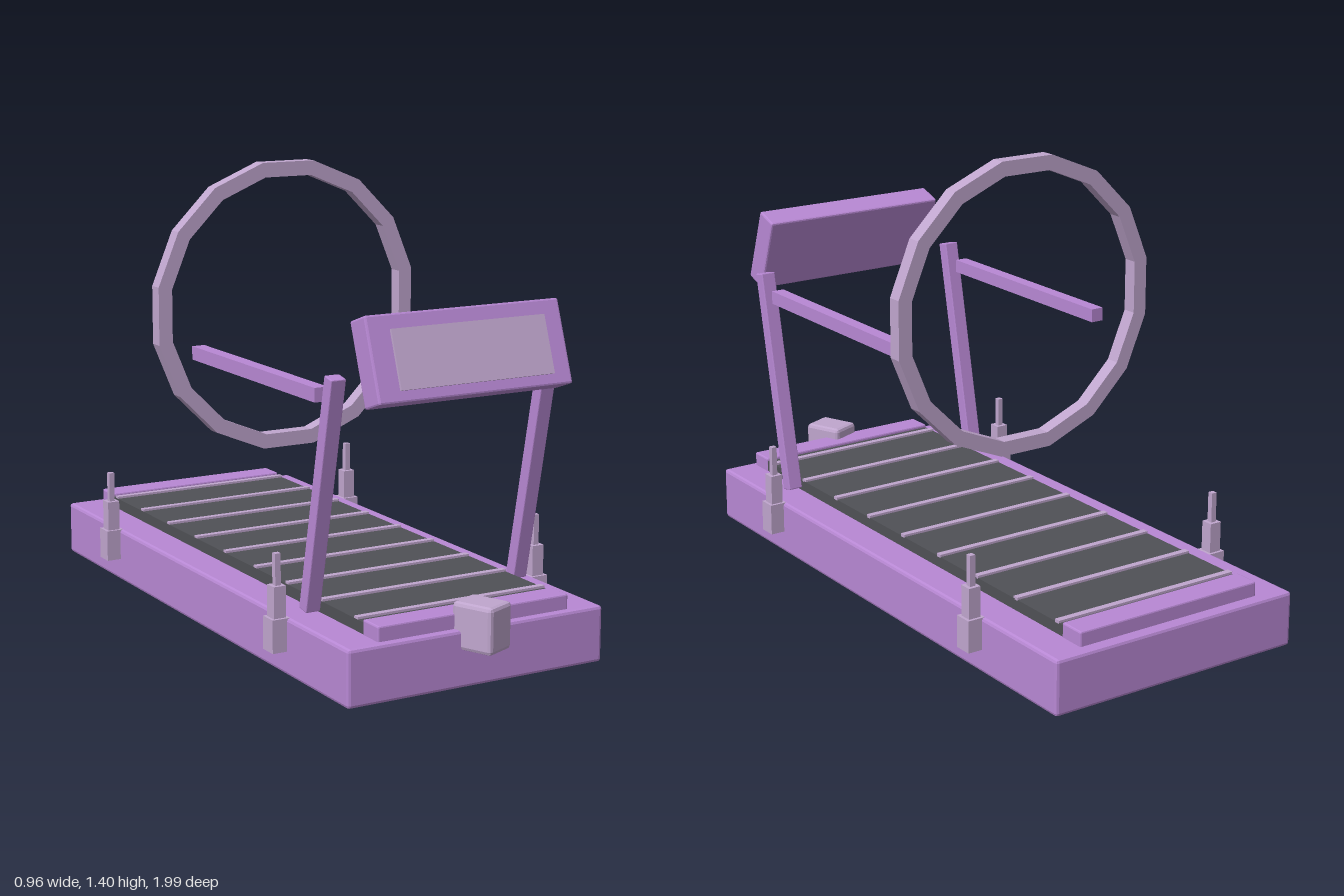
import * as THREE from 'three';
import { RoundedBoxGeometry } from 'three/addons/geometries/RoundedBoxGeometry.js';

const mat = (name, color) => {
  const m = new THREE.MeshStandardMaterial({ color });
  m.name = name;
  return m;
};

export function createModel() {
  const purple = mat('purple', 0xb888d4);
  const pale = mat('pale lilac', 0xc0a6ce);
  const dark = mat('belt grey', 0x505156);

  const model = new THREE.Group();
  model.name = 'treadmill';

  const add = (name, geometry, material, x, y, z, parent = model) => {
    const mesh = new THREE.Mesh(geometry, material);
    mesh.name = name;
    mesh.position.set(x, y, z);
    parent.add(mesh);
    return mesh;
  };
  const box = (w, h, d) => new THREE.BoxGeometry(w, h, d);
  // box with small chamfered edges
  const chamferBox = (w, h, d, r) => {
    const g = new RoundedBoxGeometry(w, h, d, 1, r);
    g.computeVertexNormals();
    return g;
  };

  // base, belt and end caps
  add('base', chamferBox(0.864, 0.172, 1.905, 0.01), purple, 0, 0.089, -0.0475);
  add('belt', box(0.64, 0.045, 1.70), dark, 0, 0.1875, -0.04);
  add('frontCap', chamferBox(0.645, 0.06, 0.083, 0.005), purple, 0, 0.19, 0.841);
  add('backCap', chamferBox(0.645, 0.06, 0.086, 0.005), purple, 0, 0.19, -0.92);
  for (let i = 0; i < 9; i++) {
    add('beltSlat', box(0.64, 0.01, 0.02), pale, 0, 0.212, -0.85 + i * 0.201);
  }

  // sloping posts, handrails and corner stubs
  for (const s of [1, -1]) {
    const post = add('post', chamferBox(0.048, 0.72, 0.042, 0.003), purple, s * 0.36, 0.545, 0.636);
    post.rotation.x = 0.204;
    add('handrail', box(0.042, 0.042, 0.765), purple, s * 0.36, 0.835, 0.2475);
    for (const z of [0.53, -0.61]) {
      const stub = new THREE.Group();
      stub.name = 'sideStub';
      stub.position.set(s * 0.45, 0, z);
      model.add(stub);
      add('stubFoot', box(0.058, 0.1, 0.058), pale, 0, 0.125, 0, stub);
      add('stubBody', box(0.04, 0.095, 0.04), pale, 0, 0.2225, 0, stub);
      add('stubPin', box(0.018, 0.095, 0.018), pale, 0, 0.3175, 0, stub);
    }
  }

  // tilted console with screen
  const console_ = new THREE.Group();
  console_.name = 'console';
  console_.position.set(0, 0.949, 0.803);
  console_.rotation.x = -0.34;
  model.add(console_);
  add('consoleBody', chamferBox(0.645, 0.25, 0.084, 0.006), purple, 0, 0, 0, console_);
  add('screen', box(0.51, 0.172, 0.008), pale, 0, -0.007, 0.054, console_);

  // sixteen-sided hoop
  const polygon = (r) => Array.from({ length: 16 }, (_, i) => {
    const a = (i + 0.5) * Math.PI / 8;
    return new THREE.Vector2(r * Math.cos(a), r * Math.sin(a));
  });
  const ring = new THREE.Shape(polygon(0.467));
  ring.holes.push(new THREE.Path(polygon(0.42)));
  const ringGeometry = new THREE.ExtrudeGeometry(ring, { depth: 0.046, bevelEnabled: false });
  add('hoop', ringGeometry, pale, 0, 0.943, -0.253);

  // turned block on the front edge
  const block = add('frontBlock', chamferBox(0.108, 0.14, 0.134, 0.012), pale, 0, 0.185, 0.915);
  block.rotation.y = 0.4;

  return model;
}
